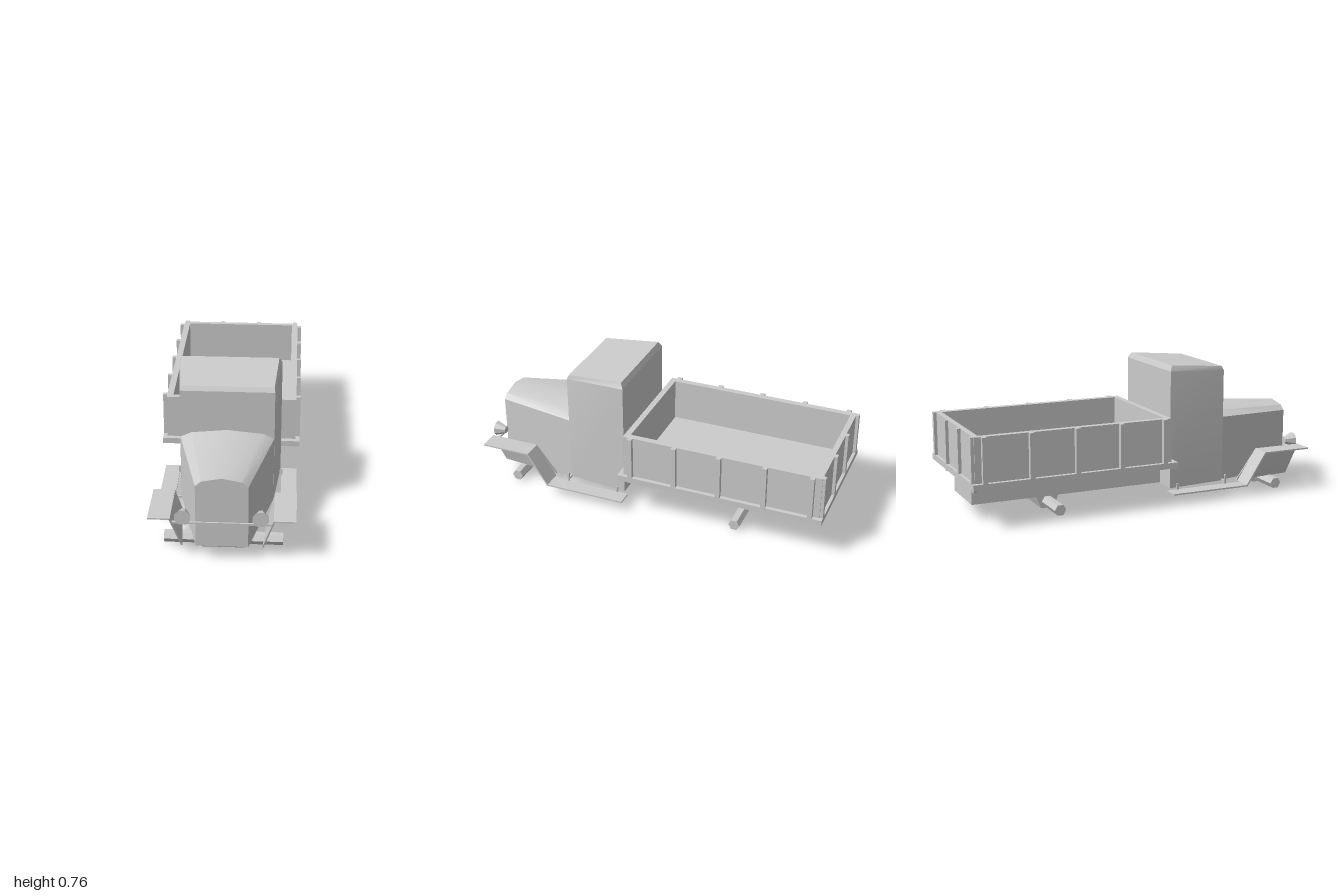
import * as THREE from 'three';
import { toCreasedNormals } from 'three/addons/utils/BufferGeometryUtils.js';

const mat = new THREE.MeshStandardMaterial({ color: 0xcccccc, side: THREE.DoubleSide });

export function createModel() {
  const model = new THREE.Group();

  const add = (name, geo, x = 0, y = 0, z = 0) => {
    const m = new THREE.Mesh(geo, mat);
    m.name = name;
    m.position.set(x, y, z);
    model.add(m);
    return m;
  };

  // Box given by its limits on each axis
  const box = (name, x0, x1, y0, y1, z0, z1) =>
    add(name, new THREE.BoxGeometry(x1 - x0, y1 - y0, z1 - z0), (x0 + x1) / 2, (y0 + y1) / 2, (z0 + z1) / 2);

  // Skin joining convex rings of points, closed at both ends
  const loft = (rings, crease = 0.3) => {
    const n = rings[0].length, idx = [];
    rings.slice(1).forEach((_, r) => {
      for (let i = 0; i < n; i++) {
        const a = r * n + i, b = r * n + (i + 1) % n;
        idx.push(a, b, b + n, a, b + n, a + n);
      }
    });
    const top = (rings.length - 1) * n;
    for (let i = 1; i < n - 1; i++) idx.push(0, i + 1, i, top, top + i, top + i + 1);
    const g = new THREE.BufferGeometry();
    g.setAttribute('position', new THREE.Float32BufferAttribute(rings.flat(2), 3));
    g.setIndex(idx);
    return toCreasedNormals(g, crease);
  };

  // Horizontal ring: front edge half width, height and z, then the rear edge
  const ring = (xf, yf, zf, xb, yb, zb) => [[-xf, yf, zf], [xf, yf, zf], [xb, yb, zb], [-xb, yb, zb]];

  // Cab with tapering sides and a bevelled, sloping roof
  add('cab', loft([
    ring(0.246, 0.075, 0.5, 0.277, 0.075, 0.155),
    ring(0.246, 0.707, 0.5, 0.277, 0.727, 0.155),
    ring(0.242, 0.731, 0.488, 0.26, 0.757, 0.17),
  ]));

  // Hood narrowing to the radiator
  const hoodRing = (w, side, midX, midY, peak, z) => [
    [-w, 0.078, z], [w, 0.078, z], [w, side, z], [midX, midY, z],
    [0, peak, z], [-midX, midY, z], [-w, side, z],
  ];
  add('hood', loft([
    hoodRing(0.245, 0.442, 0.188, 0.469, 0.488, 0.5),
    hoodRing(0.131, 0.42, 0.1, 0.446, 0.465, 0.97),
  ], 0.5));

  // Chassis and cargo bed
  box('chassis', -0.155, 0.155, 0.08, 0.22, -0.943, 0.16);
  box('bedFloor', -0.38, 0.38, 0.215, 0.247, -1, 0.152);
  box('bedFrontWall', -0.357, 0.357, 0.247, 0.487, 0.09, 0.123);
  box('bedRearWall', -0.357, 0.357, 0.247, 0.487, -0.983, -0.953);
  for (const x of [-0.34, -0.113, 0.113, 0.34])
    box('rearPost', x - 0.013, x + 0.013, 0.247, 0.487, -1, -0.983);

  // Strip with a bent side outline of [z, y] points
  const strip = (name, pts, x0, x1) => {
    const shape = new THREE.Shape(pts.map(p => new THREE.Vector2(...p)));
    const g = new THREE.ExtrudeGeometry(shape, { depth: x1 - x0, bevelEnabled: false });
    add(name, g.rotateY(-Math.PI / 2), x1);
  };

  for (const s of [-1, 1]) {
    const span = (a, b) => (s > 0 ? [a, b] : [-b, -a]);

    // Bed sides with posts
    box('bedSideWall', ...span(0.322, 0.357), 0.247, 0.487, -0.983, 0.123);
    for (let i = 0; i < 5; i++) {
      const z = 0.078 - i * 0.253;
      box('sidePost', ...span(0.355, 0.38), 0.247, 0.487, z - 0.013, z + 0.013);
    }

    // Fender and running board
    strip('fender', [[0.99, 0.235], [0.99, 0.243], [0.708, 0.243], [0.593, 0.066],
      [0.597, 0.058], [0.713, 0.235]], ...span(0.26, 0.368));
    strip('runningBoard', [[0.6, 0.058], [0.6, 0.066], [0.135, 0.066], [0.135, 0.058]], ...span(0.283, 0.368));

    // Slanted inner fender panel
    const flap = [
      [[0.2, 0.063, 0.945], [0.208, 0.063, 0.945], [0.238, 0.063, 0.6], [0.23, 0.063, 0.6]],
      [[0.256, 0.242, 0.99], [0.264, 0.242, 0.99], [0.264, 0.242, 0.71], [0.256, 0.242, 0.71]],
    ].map(r => (s > 0 ? r : r.map(([x, y, z]) => [-x, y, z]).reverse()));
    add('innerFender', loft(flap));

    // Running board brackets
    for (const [z, h] of [[0.5, 0.118], [0.2, 0.1]]) {
      box('bracketPost', ...span(0.278, 0.288), 0.06, h, z - 0.005, z + 0.005);
      box('bracketArm', ...span(0.235, 0.288), 0.075, 0.085, z - 0.005, z + 0.005);
    }

    // Headlight
    const lamp = new THREE.CylinderGeometry(0.043, 0.02, 0.06, 8).rotateY(Math.PI / 8).rotateX(Math.PI / 2);
    add('headlight', toCreasedNormals(lamp, 0.3), s * 0.193, 0.255, 0.968);

    // Tail light
    add('tailLight', new THREE.CylinderGeometry(0.025, 0.025, 0.015, 12).rotateX(Math.PI / 2), s * 0.245, 0.194, -0.955);
  }

  // Headlight bar
  box('headlightBar', -0.25, 0.25, 0.208, 0.218, 0.968, 0.978);

  // Axles with a tapered housing
  for (const [name, z] of [['frontAxle', 0.82], ['rearAxle', -0.503]]) {
    const tube = new THREE.CylinderGeometry(0.032, 0.032, 0.608, 6).rotateZ(Math.PI / 2);
    add(name, toCreasedNormals(tube, 0.3), 0, 0.037, z);
    add(name + 'Housing', loft([
      ring(0.108, 0, z + 0.036, 0.108, 0, z - 0.036),
      ring(0.108, 0.082, z + 0.07, 0.108, 0.082, z - 0.07),
    ]));
  }

  return model;
}
